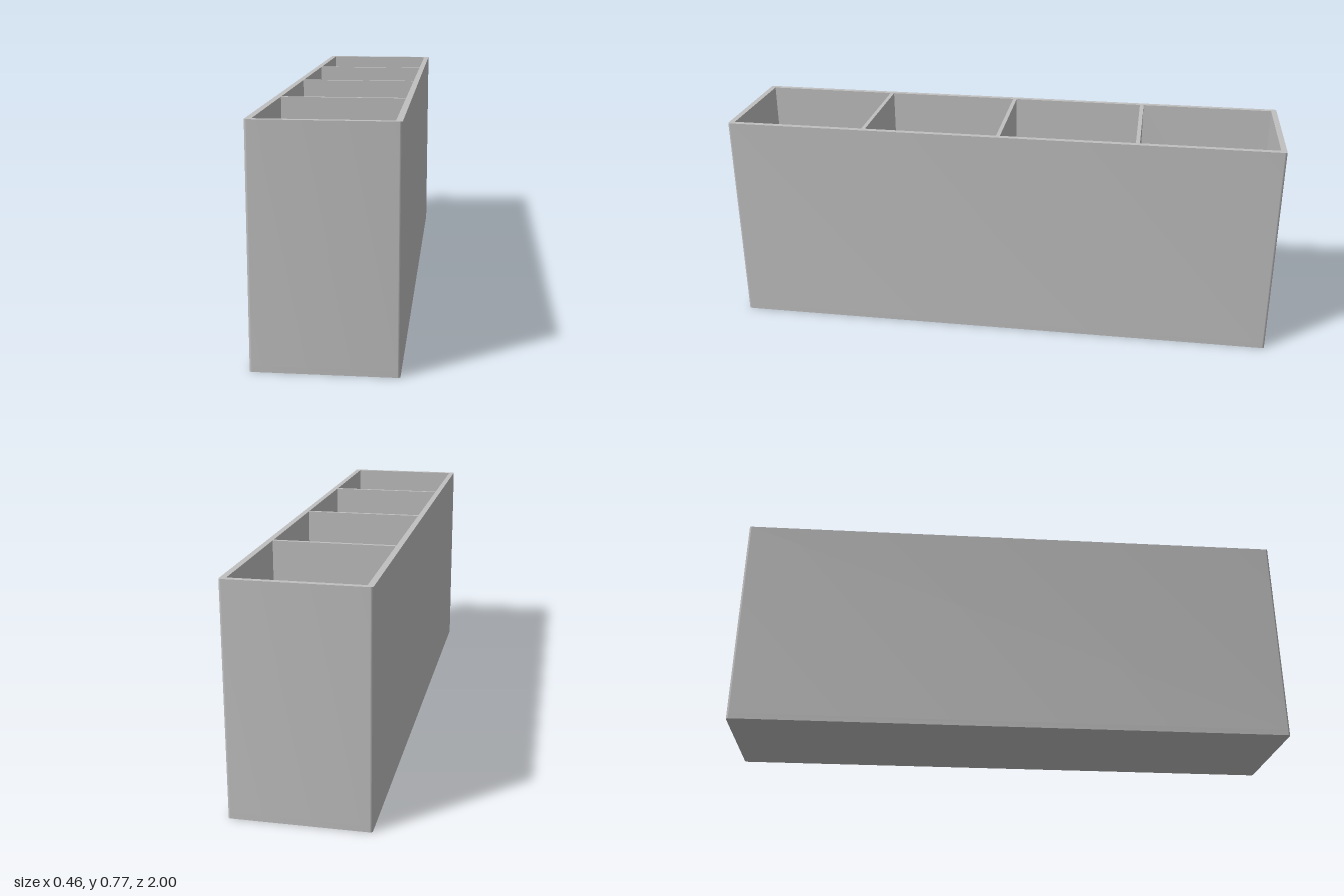
import * as THREE from 'three';
import { toCreasedNormals } from 'three/addons/utils/BufferGeometryUtils.js';

const W = 0.46, H = 0.775, L = 2;       // outer size
const WALL = 0.02, DIVIDER = 0.014, FLOOR = 0.02;
const CORNER = 0.008, FILLET = 0.065, CELLS = 4;
const CELL_W = W - 2 * WALL;
const CELL_L = (L - 2 * WALL - (CELLS - 1) * DIVIDER) / CELLS;

// Outer footprint with slightly rounded corners
function footprint() {
  const s = new THREE.Shape(), x = W / 2, y = L / 2, r = CORNER;
  s.absarc(x - r, y - r, r, 0, Math.PI / 2);
  s.absarc(-x + r, y - r, r, Math.PI / 2, Math.PI);
  s.absarc(-x + r, -y + r, r, Math.PI, Math.PI * 1.5);
  s.absarc(x - r, -y + r, r, Math.PI * 1.5, Math.PI * 2);
  s.closePath();
  return s;
}

// Extrude a footprint upwards from height y
function extrudeUp(shape, depth, y) {
  const g = new THREE.ExtrudeGeometry(shape, { depth, bevelEnabled: false, curveSegments: 5 });
  g.rotateX(-Math.PI / 2).translate(0, y, 0);
  return toCreasedNormals(g, 0.6);
}

// Curved strip joining one wall to the floor, mitred at both ends
function filletStrip(along, depth, turn) {
  const g = new THREE.PlaneGeometry(2, 1, 1, 10), p = g.attributes.position;
  for (let i = 0; i < p.count; i++) {
    const a = (0.5 - p.getY(i)) * Math.PI / 2;
    const inset = FILLET * (1 - Math.cos(a));
    p.setXYZ(i, -p.getX(i) * (along - inset), FLOOR + FILLET * (1 - Math.sin(a)), depth - inset);
  }
  g.computeVertexNormals();
  return g.rotateY(turn * Math.PI / 2);
}

export function createModel() {
  const group = new THREE.Group();
  group.name = 'compartmentBox';
  const grey = new THREE.MeshStandardMaterial({ color: 0xc0c0c0 });
  grey.name = 'grey';
  const add = (name, geometry, z = 0) => {
    const mesh = new THREE.Mesh(geometry, grey);
    mesh.name = name;
    mesh.position.z = z;
    group.add(mesh);
  };

  // Base plate, then walls and dividers as one extrusion with a hole per cell
  add('base', extrudeUp(footprint(), FLOOR, 0));
  const walls = footprint();
  const x = CELL_W / 2, h = CELL_L / 2;
  for (let i = 0; i < CELLS; i++) {
    const c = (i - (CELLS - 1) / 2) * (CELL_L + DIVIDER);
    walls.holes.push(new THREE.Path([[-x, c - h], [-x, c + h], [x, c + h], [x, c - h]]
      .map(([a, b]) => new THREE.Vector2(a, b))));
    // Rounded floor edges of each cell
    for (let k = 0; k < 4; k++) {
      add('floorFillet', k % 2 ? filletStrip(h, x, k) : filletStrip(x, h, k), c);
    }
  }
  add('wallsAndDividers', extrudeUp(walls, H - FLOOR, FLOOR));
  return group;
}
